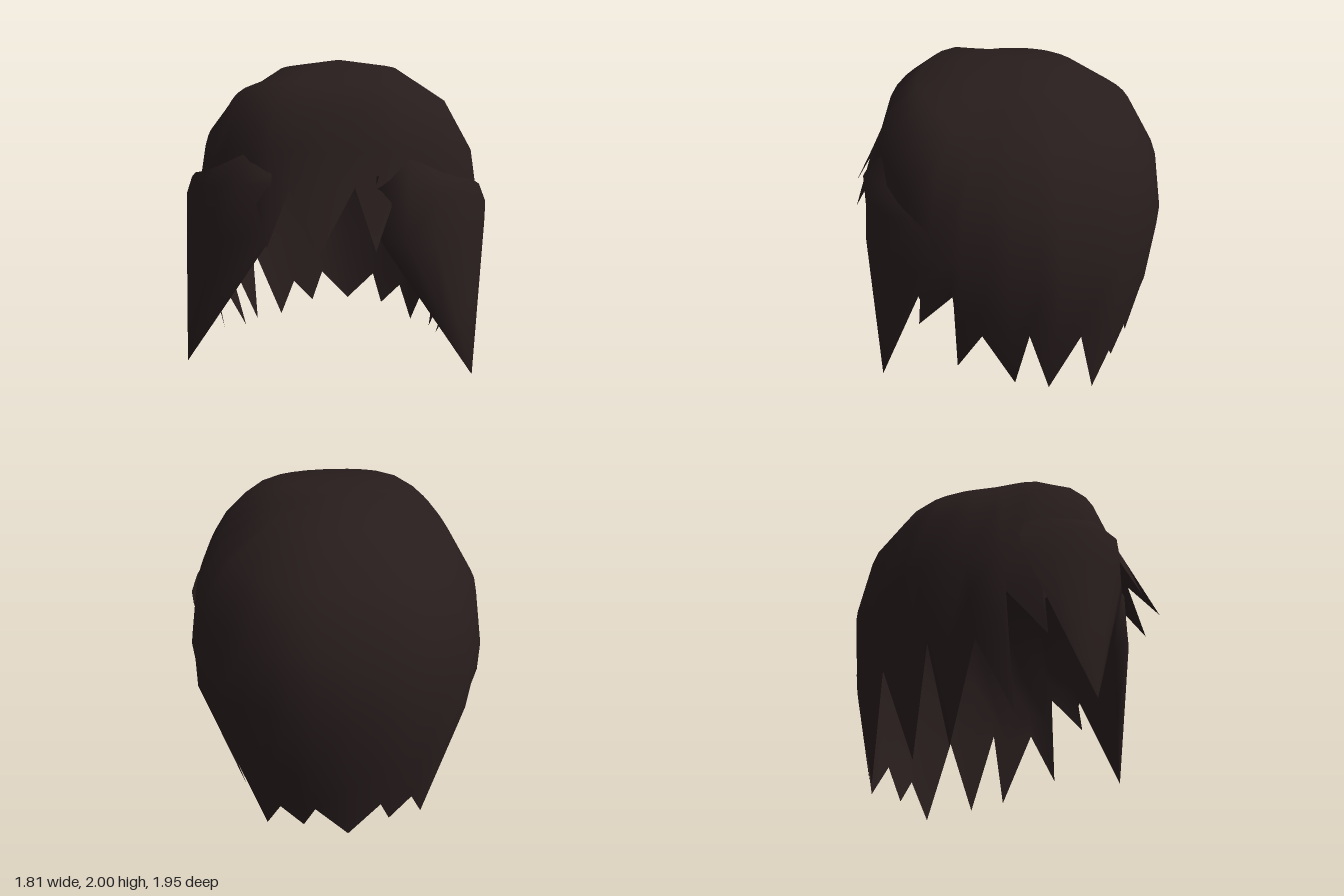
import * as THREE from 'three';
import { mergeVertices } from 'three/addons/utils/BufferGeometryUtils.js';

// Sheet from columns of points; each column runs from top to bottom.
function sheet(columns, closed) {
  const rows = columns[0].length, n = columns.length, index = [];
  for (let i = 0; i < (closed ? n : n - 1); i++) {
    const k = (i + 1) % n;
    for (let j = 0; j < rows - 1; j++) {
      const a = i * rows + j, b = a + 1, c = k * rows + j, d = c + 1;
      index.push(a, b, c, b, d, c);
    }
  }
  const g = new THREE.BufferGeometry();
  g.setAttribute('position', new THREE.Float32BufferAttribute(columns.flat(2), 3));
  g.setIndex(index);
  const merged = mergeVertices(g, 1e-4);
  merged.computeVertexNormals();
  return merged;
}

const mix = (a, b, t) => a.map((v, i) => v + (b[i] - v) * t);
const mirror = (columns) => columns.map((c) => c.map(([x, y, z]) => [-x, y, z])).reverse();

// Dome profiles as [radius, height], from crown to brow line
const CENTER_Z = -0.08;
const BACK = [[0, 2], [0.36, 1.943], [0.66, 1.75], [0.83, 1.46], [0.895, 1.1]];
const FRONT = [[0, 2], [0.35, 1.955], [0.57, 1.92], [0.73, 1.8], [0.8, 1.6]];

// Jagged hem of one half: [angle from the front, x, y, z], tips and notches in turn
const HEM = [
  [0, 0, 1.115, 0.975], [13, 0.17, 1.43, 0.79], [22, 0.29, 1.11, 0.88], [30, 0.38, 1.37, 0.73],
  [42, 0.6, 1.25, 0.6], [54, 0.76, 1.0, 0.46], [62, 0.82, 0.85, 0.36],
  [66, 0.81, 0.66, 0.38], [75, 0.85, 0.92, 0.16], [78, 0.73, 0.28, 0.18],
  [88, 0.85, 0.65, 0], [95, 0.67, 0.13, -0.17], [106, 0.82, 0.66, -0.27],
  [113, 0.63, 0.08, -0.38], [128, 0.69, 0.58, -0.56], [140, 0.5, 0, -0.65],
  [150, 0.41, 0.24, -0.74], [158, 0.27, 0.08, -0.76], [167, 0.2, 0.29, -0.83],
  [180, 0, 0.07, -0.85],
];

function capColumn([deg, ...hem]) {
  const a = THREE.MathUtils.degToRad(deg);
  const f = THREE.MathUtils.smoothstep(Math.cos(a), 0.1, 0.85);
  // The fringe swells at its front corners
  const swell = deg < 90 ? 0.06 * Math.sin(2 * a) ** 2 : 0;
  const column = BACK.map((p, i) => {
    const [r, y] = mix(p, FRONT[i], f);
    const s = r * (1 + (i > 1 ? swell : 0));
    return [Math.sin(a) * s, y, CENTER_Z + Math.cos(a) * s];
  });
  // Slight outward belly between brow line and hem
  const mid = mix(column[4], hem, 0.5), bulge = 1 + 0.035 * (1 - f);
  column.push([mid[0] * bulge, mid[1], CENTER_Z + (mid[2] - CENTER_Z) * bulge], hem);
  return column;
}

// Long lock wrapping the front corner: three rows narrowing to one tip,
// each row starting with a narrow fold along the inner edge
const LOCK_ROWS = [
  [[0.3, 1.46, 0.69], [0.28, 1.48, 0.74], [0.45, 1.56, 0.63], [0.62, 1.47, 0.56], [0.72, 1.42, 0.47], [0.81, 1.38, 0.36], [0.86, 1.33, 0.27]],
  [[0.33, 1.38, 0.68], [0.28, 1.42, 0.76], [0.45, 1.42, 0.755], [0.61, 1.38, 0.69], [0.72, 1.34, 0.55], [0.82, 1.29, 0.41], [0.905, 1.22, 0.25]],
  [[0.34, 1.04, 0.66], [0.31, 1.13, 0.76], [0.45, 1.12, 0.76], [0.61, 1.1, 0.72], [0.76, 1.1, 0.58], [0.86, 1.1, 0.43], [0.905, 1.12, 0.27]],
];
const LOCK_TIP = [0.85, 0.27, 0.62];

export function createModel() {
  const group = new THREE.Group();
  const hair = new THREE.MeshStandardMaterial({ color: 0x281d1d, side: THREE.DoubleSide });
  hair.name = 'dark brown hair';
  const add = (name, geometry) => {
    const mesh = new THREE.Mesh(geometry, hair);
    mesh.name = name;
    group.add(mesh);
  };

  // Cap with fringe, side strands and back strands
  const half = HEM.map(capColumn);
  add('hairCap', sheet([...half, ...mirror(half.slice(1, -1))], true));

  // Front locks
  const lock = LOCK_ROWS[0].map((_, i) => {
    const [top, brow, wide] = LOCK_ROWS.map((row) => row[i]);
    return [top, brow, wide, mix(wide, LOCK_TIP, 0.5), LOCK_TIP];
  });
  add('leftLock', sheet(lock, false));
  add('rightLock', sheet(mirror(lock), false));

  return group;
}
